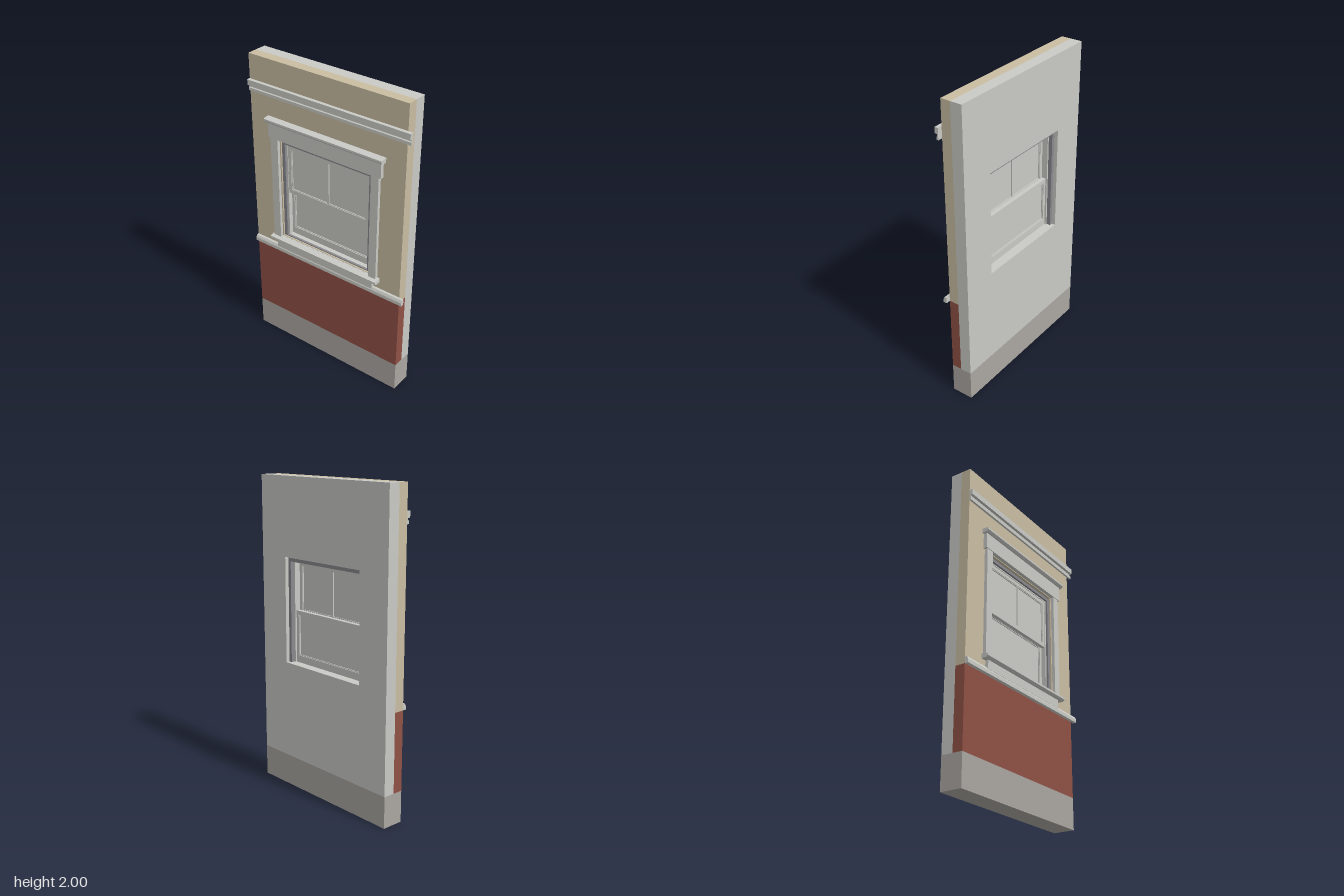
import * as THREE from 'three';

const mat = (name, color) => {
  const m = new THREE.MeshStandardMaterial({ color });
  m.name = name;
  return m;
};

export function createModel() {
  const white = mat('off white', 0xc9cac5);
  const tan = mat('tan siding', 0xc9bda2);
  const red = mat('brick red', 0x8f5145);
  const stone = mat('base grey', 0xaaa6a1);
  const liner = mat('liner grey', 0x88888e);

  const model = new THREE.Group();
  model.name = 'wallSection';
  const L = -0.575, R = 0.545, C = -0.015; // wall ends and window centre

  const add = (name, geo, material, parent = model) => {
    const mesh = new THREE.Mesh(geo, material);
    mesh.name = name;
    parent.add(mesh);
    return mesh;
  };

  // Box given by its limits on each axis
  const box = (name, m, x0, x1, y0, y1, z0, z1, parent) => add(name,
    new THREE.BoxGeometry(x1 - x0, y1 - y0, z1 - z0)
      .translate((x0 + x1) / 2, (y0 + y1) / 2, (z0 + z1) / 2), m, parent);

  const corners = (x0, x1, y0, y1) =>
    [[x0, y0], [x1, y0], [x1, y1], [x0, y1]].map(p => new THREE.Vector2(...p));

  // Rectangular slab with a rectangular hole
  const ring = (name, m, outer, inner, z0, z1, parent) => {
    const shape = new THREE.Shape(corners(...outer));
    shape.holes.push(new THREE.Path(corners(...inner)));
    const geo = new THREE.ExtrudeGeometry(shape, { depth: z1 - z0, bevelEnabled: false });
    return add(name, geo.translate(0, 0, z0), m, parent);
  };

  // Moulding with a (z, y) profile run along x
  const moulding = (name, m, x0, x1, profile, parent) => {
    const shape = new THREE.Shape(profile.map(p => new THREE.Vector2(...p)));
    const geo = new THREE.ExtrudeGeometry(shape, { depth: x1 - x0, bevelEnabled: false });
    return add(name, geo.rotateY(-Math.PI / 2).translate(x1, 0, 0), m, parent);
  };

  // Wall layers
  const hole = [-0.35, 0.32, 0.82, 1.505];
  box('base', stone, L, R, 0, 0.2, -0.095, 0.045);
  ring('innerWall', white, [L, R, 0.2, 2], hole, -0.095, -0.02);
  box('brickPanel', red, L, R, 0.2, 0.7, -0.02, 0.045);
  ring('siding', tan, [L, R, 0.7, 2], hole, -0.02, 0.045);

  // Horizontal trim bands
  moulding('upperBand', white, L, 0.575, [
    [0.045, 1.77], [0.058, 1.77], [0.058, 1.788], [0.052, 1.793],
    [0.052, 1.803], [0.068, 1.806], [0.068, 1.842], [0.045, 1.842]]);
  moulding('lowerBand', white, L, 0.575, [
    [0.045, 0.7], [0.068, 0.7], [0.068, 0.722], [0.06, 0.738], [0.045, 0.74]]);

  // Window casing
  const casing = new THREE.Group();
  casing.name = 'windowCasing';
  model.add(casing);
  for (const s of [-1, 1]) {
    const x = C + s * 0.37;
    box(s < 0 ? 'rightCasing' : 'leftCasing', white, x - 0.027, x + 0.027, 0.812, 1.51, 0.045, 0.066, casing);
  }
  box('headCasing', white, -0.425, 0.398, 1.51, 1.612, 0.045, 0.07, casing);
  moulding('headCap', white, -0.441, 0.413, [
    [0.045, 1.61], [0.078, 1.61], [0.09, 1.623], [0.09, 1.635], [0.045, 1.64]], casing);
  moulding('sill', white, -0.425, 0.4, [
    [0.045, 0.786], [0.078, 0.786], [0.092, 0.795], [0.092, 0.808], [0.045, 0.816]], casing);
  box('apron', white, -0.388, 0.358, 0.73, 0.788, 0.045, 0.066, casing);
  moulding('sillInside', white, -0.35, 0.32, [
    [-0.095, 0.815], [0.05, 0.806], [0.05, 0.816], [-0.03, 0.828], [-0.095, 0.828]], casing);

  // Jamb liner and inner stop
  const frame = new THREE.Group();
  frame.name = 'windowFrame';
  model.add(frame);
  ring('jambLiner', liner, [-0.352, 0.322, 0.815, 1.498], [-0.328, 0.298, 0.826, 1.477], -0.07, 0.035, frame);
  ring('innerStop', white, [-0.33, 0.3, 0.815, 1.479], [-0.318, 0.288, 0.828, 1.469], -0.045, 0.022, frame);

  // Sashes: border, raised rails and pane
  const sash = (name, x0, x1, y0, y1, z0, z1, stile, bottom, top) => {
    const g = new THREE.Group();
    g.name = name;
    model.add(g);
    const inner = [x0 + stile, x1 - stile, y0 + bottom, y1 - top];
    ring('sashFrame', white, [x0, x1, y0, y1], inner, z0, z1, g);
    const bead = 0.005, mid = (z0 + z1) / 2;
    ring('glazingBead', white, inner,
      [inner[0] + bead, inner[1] - bead, inner[2] + bead, inner[3] - bead], mid - 0.008, mid + 0.008, g);
    box('pane', white, inner[0], inner[1], inner[2], inner[3], mid - 0.002, mid + 0.002, g);
    return g;
  };
  const upper = sash('upperSash', -0.32, 0.29, 1.138, 1.47, -0.006, 0.018, 0.024, 0.026, 0.024);
  box('muntin', white, C - 0.007, C + 0.007, 1.164, 1.446, -0.004, 0.016, upper);
  sash('lowerSash', -0.32, 0.29, 0.826, 1.164, -0.034, -0.008, 0.022, 0.048, 0.026);

  return model;
}
